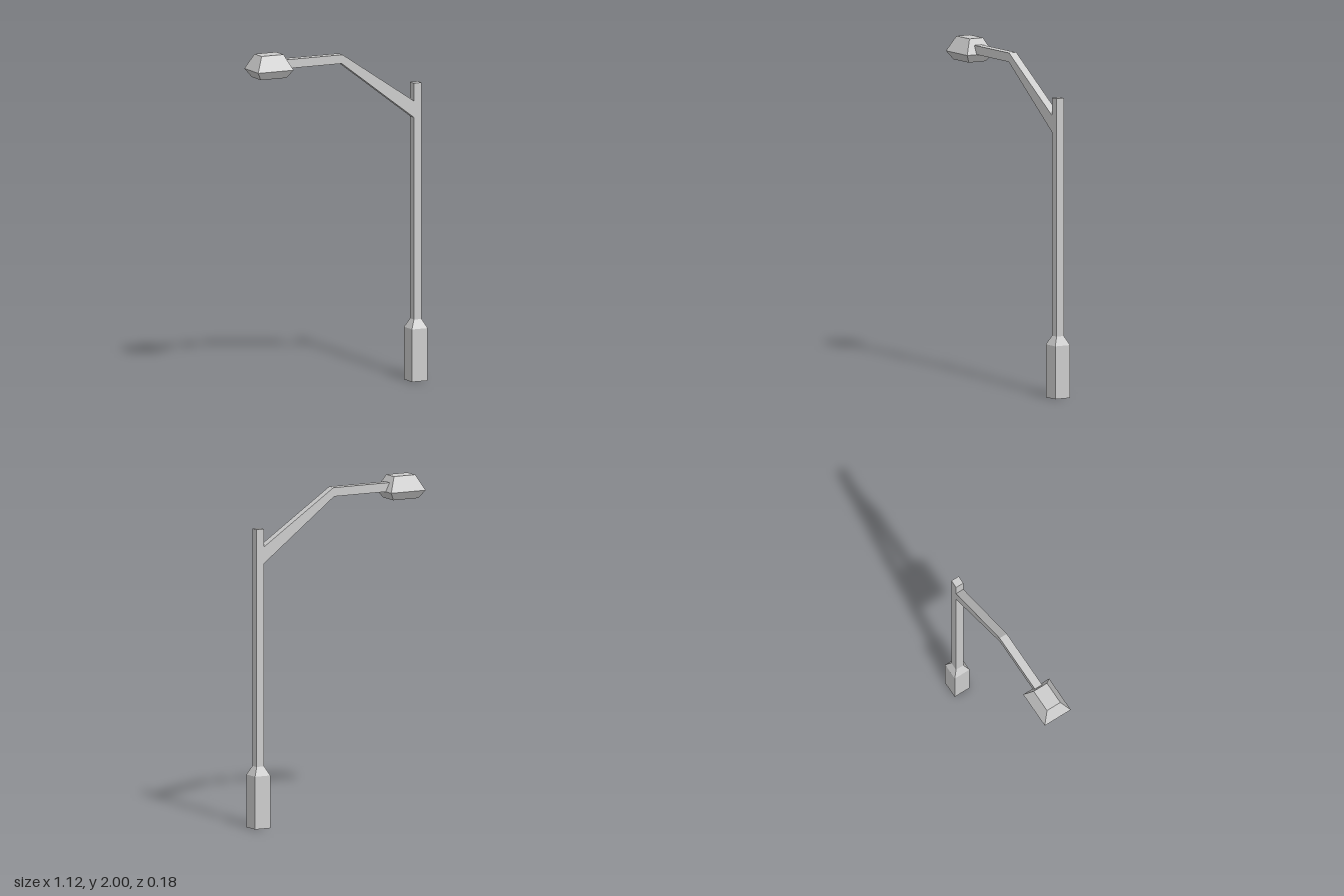
import * as THREE from 'three';

const material = new THREE.MeshStandardMaterial({
  color: 0xcccccc, flatShading: true, side: THREE.DoubleSide,
});

// Joins rectangular sections [y, halfWidth, halfDepth], listed from bottom to top.
function rectLoft(sections, capBottom) {
  const corners = [[1, 1], [1, -1], [-1, -1], [-1, 1]];
  const rings = sections.map(([y, w, d]) => corners.map(([sx, sz]) => [sx * w, y, sz * d]));
  const positions = [];
  const quad = (a, b, c, d) => positions.push(...a, ...b, ...c, ...a, ...c, ...d);
  for (let i = 0; i < rings.length - 1; i++) {
    for (let j = 0; j < 4; j++) {
      const k = (j + 1) % 4;
      quad(rings[i][j], rings[i][k], rings[i + 1][k], rings[i + 1][j]);
    }
  }
  quad(...rings[rings.length - 1]);
  if (capBottom) quad(...[...rings[0]].reverse());
  const geometry = new THREE.BufferGeometry();
  geometry.setAttribute('position', new THREE.Float32BufferAttribute(positions, 3));
  geometry.computeVertexNormals();
  return geometry;
}

export function createModel() {
  const group = new THREE.Group();
  const add = (name, geometry, x = 0, z = 0) => {
    const mesh = new THREE.Mesh(geometry, material);
    mesh.name = name;
    mesh.position.set(x, 0, z);
    group.add(mesh);
  };

  // Square pole with a wider foot, open underneath
  add('pole', rectLoft([
    [0, 0.051, 0.051], [0.31, 0.051, 0.051], [0.362, 0.025, 0.025], [1.757, 0.025, 0.025],
  ], false), 0.508);

  // Bent arm, thicker where it meets the pole
  const armShape = new THREE.Shape([
    [-0.355, 1.911], [0.015, 1.911], [0.484, 1.554],
    [0.484, 1.652], [0.02, 1.963], [-0.355, 1.963],
  ].map(([x, y]) => new THREE.Vector2(x, y)));
  add('arm', new THREE.ExtrudeGeometry(armShape, { depth: 0.05, bevelEnabled: false }), 0, -0.025);

  // Lamp head: short underside taper and a sloped cover
  add('lampHead', rectLoft([
    [1.863, 0.083, 0.059], [1.911, 0.115, 0.09], [2, 0.071, 0.046],
  ], true), -0.445);

  return group;
}
